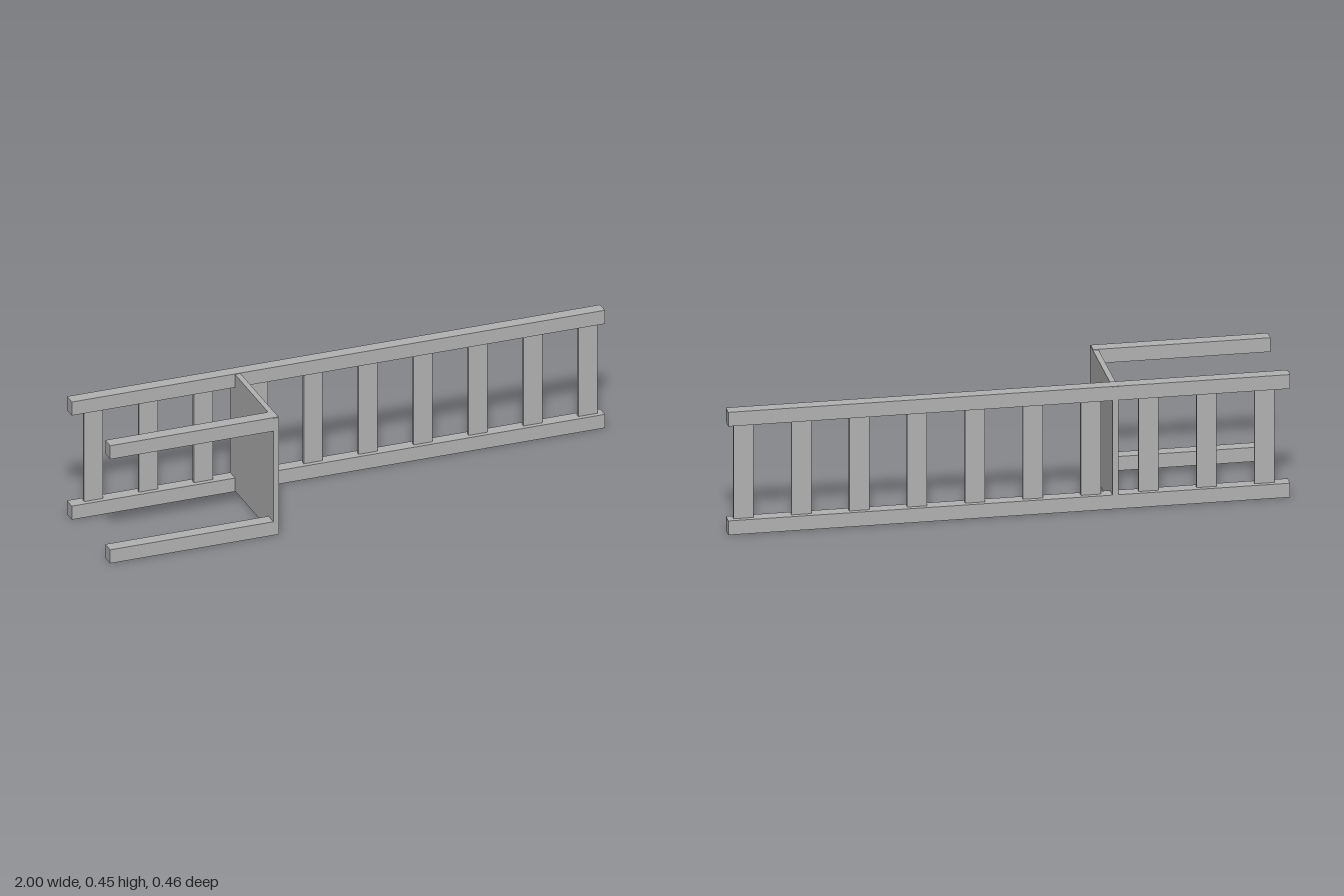
import * as THREE from 'three';

export function createModel() {
  const model = new THREE.Group();
  model.name = 'railing';
  const grey = new THREE.MeshStandardMaterial({ color: 0xb2b2b2 });
  grey.name = 'light grey';

  // The whole railing is turned slightly about the vertical axis
  const frame = new THREE.Group();
  frame.name = 'frame';
  frame.position.set(0.01, 0, -0.132);
  frame.rotation.y = -0.075;
  model.add(frame);

  // Box given by its minimum and maximum corners
  function box(name, [x0, y0, z0], [x1, y1, z1]) {
    const mesh = new THREE.Mesh(new THREE.BoxGeometry(x1 - x0, y1 - y0, z1 - z0), grey);
    mesh.position.set((x0 + x1) / 2, (y0 + y1) / 2, (z0 + z1) / 2);
    mesh.name = name;
    frame.add(mesh);
  }

  // Lower and upper rails: a long pair at the back, a short pair in front
  for (const [level, y0, y1] of [['lower', 0, 0.052], ['upper', 0.4, 0.452]]) {
    box(level + 'BackRail', [-0.985, y0, -0.0235], [0.985, y1, 0.0235]);
    box(level + 'FrontRail', [-0.985, y0, 0.341], [-0.363, y1, 0.388]);
  }

  // Cross panel joining the two pairs
  box('crossPanel', [-0.382, 0.002, -0.0255], [-0.362, 0.45, 0.39]);

  // Flat upright slats between the back rails
  for (let i = 0; i < 10; i++) {
    const x = -0.898 + i * 0.2029;
    box('slat', [x - 0.035, 0.051, -0.006], [x + 0.035, 0.401, 0.006]);
  }

  return model;
}
